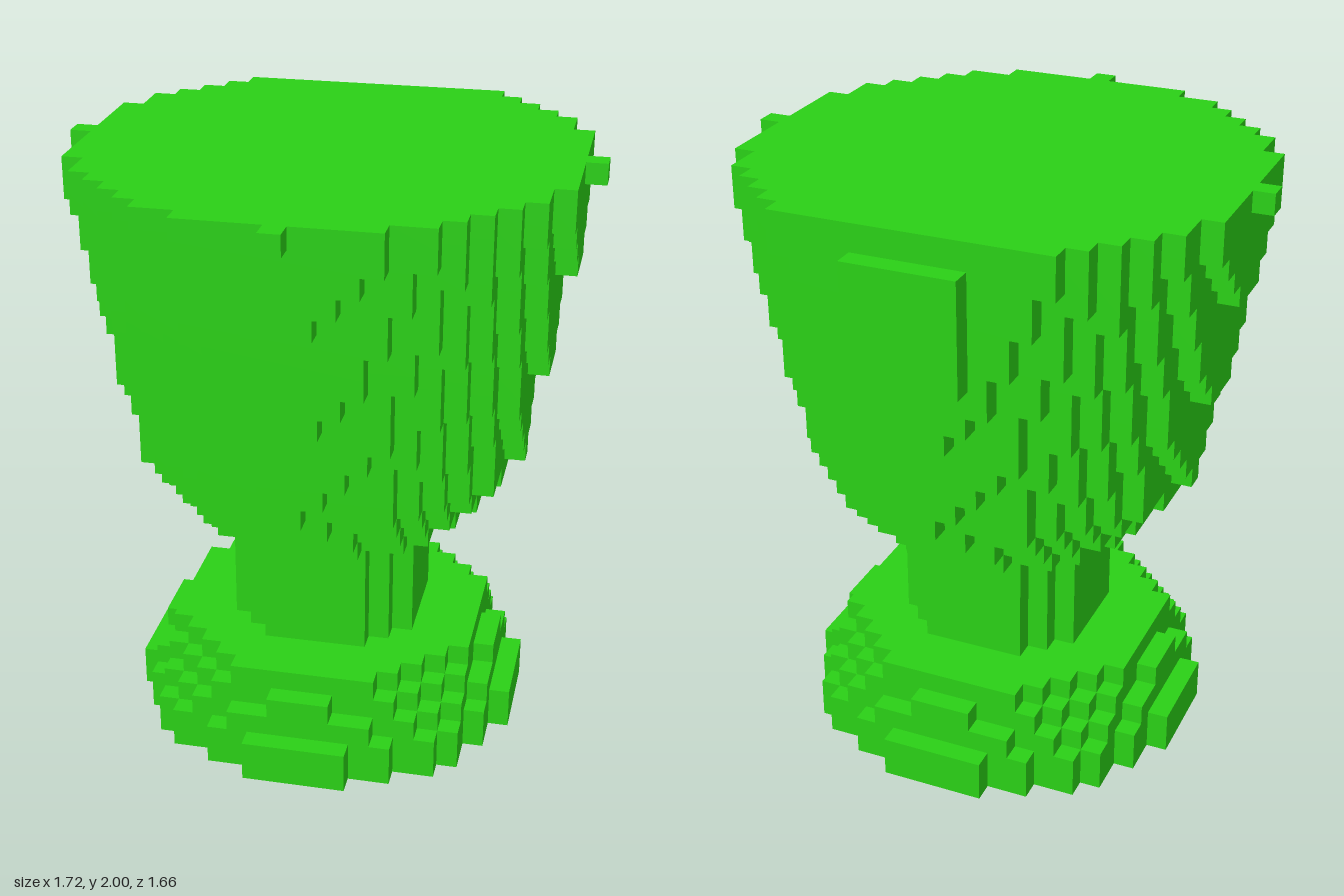
import * as THREE from 'three';

const V = 2 / 29;        // edge length of one block
const CZ = -0.5 * V;     // the round axis sits half a block behind the middle
const BACK = -10;        // rows further back are cut off flat

// Stepped outline of all blocks whose centres lie within radius r (in blocks)
function steppedDisc(r) {
  const n = Math.floor(r + 1e-6);
  const right = [];
  for (let j = Math.max(-n, BACK); j <= n; j++) {
    const x = Math.floor(Math.sqrt(Math.max(0, r * r - j * j)) + 1e-6) + 0.5;
    const last = right[right.length - 1];
    if (last && last.x === x) last.y = j + 0.5;
    else right.push(new THREE.Vector2(x, j - 0.5), new THREE.Vector2(x, j + 0.5));
  }
  const left = right.map((p) => new THREE.Vector2(-p.x, p.y)).reverse();
  return new THREE.Shape([...right, ...left].map((p) => p.multiplyScalar(V)));
}

export function createModel() {
  const model = new THREE.Group();
  model.name = 'goblet';
  const green = new THREE.MeshStandardMaterial({ color: 0x2ad016, flatShading: true });

  // One disc of blocks, filling the layers from bottom to bottom + count
  function addDisc(parent, r, bottom, count = 1) {
    const geometry = new THREE.ExtrudeGeometry(steppedDisc(r), { depth: count * V, bevelEnabled: false });
    geometry.rotateX(Math.PI / 2);
    const mesh = new THREE.Mesh(geometry, green);
    mesh.name = parent.name + 'Layer' + bottom;
    mesh.position.set(0, (bottom + count) * V, CZ);
    parent.add(mesh);
  }

  function addPart(name) {
    const part = new THREE.Group();
    part.name = name;
    model.add(part);
    return part;
  }

  // Foot: a two-layer plinth with three narrowing layers
  const foot = addPart('foot');
  addDisc(foot, 9.3, 0, 2);
  [8.7, 8.15, 7.65].forEach((r, i) => addDisc(foot, r, 2 + i));

  // Stem
  addDisc(addPart('stem'), 4.5, 5, 6);

  // Underside of the bowl, flaring quickly
  const underside = addPart('bowlUnderside');
  for (let i = 0; i < 3; i++) addDisc(underside, 6.5 + (i * 2.5) / 3, 11 + i);

  // Bowl, widening evenly from radius 9 to 12 blocks
  const bowl = addPart('bowl');
  for (let i = 0; i <= 14; i++) addDisc(bowl, 9 + (i * 3) / 14, 14 + i);

  // Raised plate on the flat back
  const plate = new THREE.Mesh(new THREE.BoxGeometry(0.365, 0.37, V), green);
  plate.name = 'backPlate';
  plate.position.set(0, 1.725, -11.5 * V);
  model.add(plate);

  return model;
}
